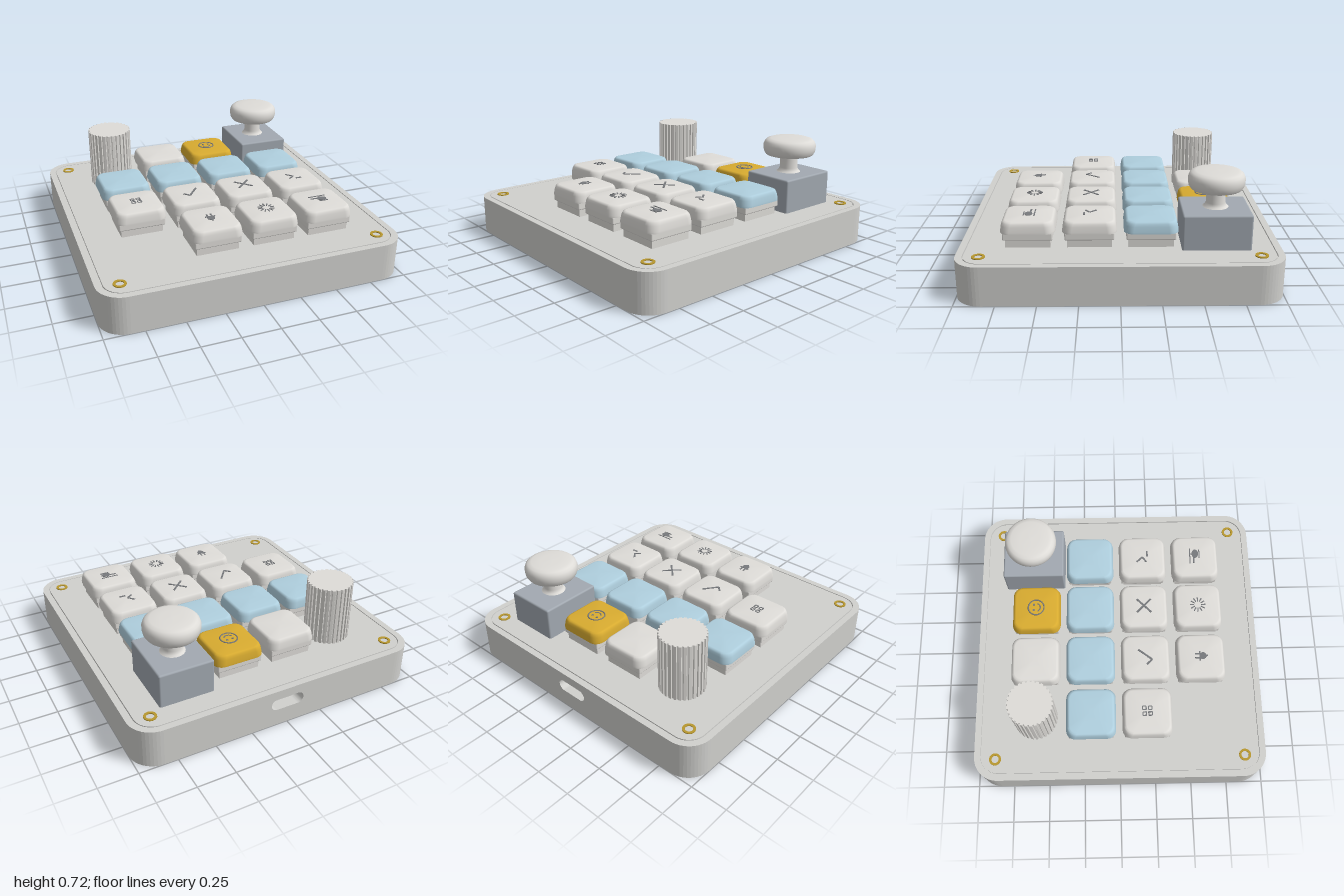
import * as THREE from 'three';
import { RoundedBoxGeometry } from 'three/addons/geometries/RoundedBoxGeometry.js';

const mat = (name, color) => Object.assign(new THREE.MeshStandardMaterial({ color }), { name });
const M = {
  casing: mat('case grey', 0xd0d0cd),
  key: mat('key light grey', 0xdedcd8),
  blue: mat('key blue', 0xafcfde),
  yellow: mat('key yellow', 0xd9ac30),
  box: mat('joystick blue grey', 0xa2a9b1),
  brass: mat('brass', 0xb8972f),
  icon: mat('icon dark grey', 0x77797c),
};
const DECK = 0.255;
const GRID = [-0.577, -0.194, 0.189, 0.572];

function add(parent, name, geometry, material, x = 0, y = 0, z = 0) {
  const mesh = new THREE.Mesh(geometry, material);
  mesh.name = name;
  mesh.position.set(x, y, z);
  parent.add(mesh);
  return mesh;
}

// Points of a rounded square, counter-clockwise in x, y
function roundedSquare(h, r, n = 8) {
  const pts = [];
  for (let c = 0; c < 4; c++) {
    const cx = (c === 0 || c === 3 ? 1 : -1) * (h - r), cy = (c < 2 ? 1 : -1) * (h - r);
    for (let i = 0; i <= n; i++) {
      const a = (c + i / n) * Math.PI / 2;
      pts.push(new THREE.Vector2(cx + r * Math.cos(a), cy + r * Math.sin(a)));
    }
  }
  return pts;
}

// Extrudes a plan outline upwards
function slab(points, height, hole) {
  const shape = new THREE.Shape(points);
  if (hole) shape.holes.push(new THREE.Path(hole));
  return new THREE.ExtrudeGeometry(shape, { depth: height, bevelEnabled: false, curveSegments: 24 }).rotateX(-Math.PI / 2);
}

const circle = (r, n = 24) => Array.from({ length: n }, (_, i) =>
  new THREE.Vector2(r * Math.cos(i / n * 2 * Math.PI), r * Math.sin(i / n * 2 * Math.PI)));

// Keycap from stacked rounded squares: [half width, corner radius, height]
function keycapGeometry() {
  const rows = [[0.15, 0.05, 0], [0.17, 0.06, 0], [0.17, 0.06, 0], [0.17, 0.06, 0.012], [0.165, 0.06, 0.045],
    [0.16, 0.06, 0.062], [0.153, 0.057, 0.071], [0.142, 0.05, 0.075], [0.07, 0.02, 0.08]];
  const pos = [], idx = [];
  rows.forEach(([h, r, y]) => roundedSquare(h, r, 6).forEach(p => pos.push(p.x, y, -p.y)));
  const n = 28, last = (rows.length - 1) * n, top = rows.length * n;
  pos.push(0, 0.082, 0, 0, 0, 0);
  for (let i = 0; i < n; i++) {
    const j = (i + 1) % n;
    for (let k = 0; k < rows.length - 1; k++) {
      if (k === 1) continue; // sharp lower edge
      const a = k * n;
      idx.push(a + i, a + j, a + n + j, a + i, a + n + j, a + n + i);
    }
    idx.push(last + i, last + j, top, j, i, top + 1);
  }
  const g = new THREE.BufferGeometry();
  g.setAttribute('position', new THREE.Float32BufferAttribute(pos, 3));
  g.setIndex(idx);
  g.computeVertexNormals();
  return g;
}

// Icon strokes: a polyline of thin bars, and a flat arc
function line(g, pts, w = 0.01) {
  for (let i = 0; i + 3 < pts.length; i += 2) {
    const [x1, z1, x2, z2] = pts.slice(i, i + 4);
    const bar = add(g, 'iconStroke', new THREE.BoxGeometry(Math.hypot(x2 - x1, z2 - z1), 0.008, w), M.icon,
      (x1 + x2) / 2, 0, (z1 + z2) / 2);
    bar.rotation.y = -Math.atan2(z2 - z1, x2 - x1);
  }
}
function arc(g, r, start, length, x = 0, z = 0) {
  const geo = new THREE.TorusGeometry(r, 0.005, 6, 32, length).rotateZ(start).rotateX(-Math.PI / 2);
  add(g, 'iconArc', geo, M.icon, x, 0, z);
}
const dot = (g, r, x, z) => add(g, 'iconDot', new THREE.CylinderGeometry(r, r, 0.008, 16), M.icon, x, 0, z);

const icons = {
  smile(g) {
    arc(g, 0.056, 0, Math.PI * 2);
    arc(g, 0.03, Math.PI * 1.1, Math.PI * 0.8);
    for (const s of [-1, 1]) dot(g, 0.008, s * 0.02, -0.016);
  },
  squares(g) {
    for (const x of [-0.02, 0.02]) for (const z of [-0.02, 0.02]) {
      const a = 0.012;
      line(g, [x - a, z - a, x + a, z - a, x + a, z + a, x - a, z + a, x - a, z - a], 0.007);
    }
  },
  check(g) { line(g, [-0.055, 0.008, -0.02, 0.045, 0.052, -0.05], 0.013); },
  cross(g) {
    line(g, [-0.05, -0.05, 0.05, 0.05], 0.013);
    line(g, [-0.05, 0.05, 0.05, -0.05], 0.013);
  },
  prompt(g) {
    line(g, [-0.04, -0.042, -0.002, 0, -0.04, 0.028], 0.012);
    line(g, [0.002, 0.035, 0.045, 0.035], 0.012);
  },
  plug(g) {
    for (const s of [-1, 1]) line(g, [s * 0.014, -0.04, s * 0.014, -0.005]);
    line(g, [-0.034, -0.006, 0.034, -0.006]);
    dot(g, 0.025, 0, 0.014);
    line(g, [0, 0.03, 0, 0.048]);
  },
  burst(g) {
    for (let i = 0; i < 12; i++) {
      const c = Math.cos(i * Math.PI / 6), s = Math.sin(i * Math.PI / 6);
      line(g, [c * 0.025, s * 0.025, c * 0.055, s * 0.055], 0.008);
    }
  },
  helicopter(g) {
    line(g, [-0.06, -0.036, 0.06, -0.036], 0.007);
    line(g, [0.015, -0.036, 0.015, -0.01], 0.007);
    line(g, [-0.055, -0.01, 0.01, -0.006]);
    dot(g, 0.024, 0.018, 0.002).scale.x = 1.4;
    line(g, [-0.015, 0.032, 0.05, 0.032], 0.007);
  },
};

export function createModel() {
  const model = new THREE.Group();
  model.name = 'macroPad';

  // Case: tray with a notch at the back, filled by a wall with the port opening
  const body = roundedSquare(1, 0.165, 12);
  const notch = [[0.2, 1], [0.2, 0.92], [-0.2, 0.92], [-0.2, 1]].map(p => new THREE.Vector2(...p));
  const outline = [...body.slice(0, 13), ...notch, ...body.slice(13)];
  const gap = roundedSquare(0.957, 0.125, 12);
  add(model, 'caseTray', slab(outline, 0.24), M.casing);
  add(model, 'caseRim', slab(body, DECK - 0.24, gap), M.casing, 0, 0.24);
  add(model, 'topPlate', slab(roundedSquare(0.951, 0.119, 12), DECK - 0.24), M.casing, 0, 0.24);
  const wall = new THREE.Shape([[-0.2, 0], [0.2, 0], [0.2, 0.24], [-0.2, 0.24]].map(p => new THREE.Vector2(...p)));
  const port = new THREE.Path();
  port.absarc(0.075, 0.155, 0.04, -Math.PI / 2, Math.PI / 2);
  port.absarc(-0.075, 0.155, 0.04, Math.PI / 2, Math.PI * 1.5);
  port.closePath();
  wall.holes.push(port);
  add(model, 'portWall', new THREE.ExtrudeGeometry(wall, { depth: 0.08, bevelEnabled: false }), M.casing, 0, 0, -1);

  // Threaded inserts in the corners
  const insert = slab(circle(0.041), 0.008, circle(0.025));
  for (const x of [-0.855, 0.855]) for (const z of [-0.855, 0.855]) add(model, 'cornerInsert', insert, M.brass, x, DECK - 0.002, z);

  // Keys: switch housing, cap and icon
  const cap = keycapGeometry();
  const lower = new THREE.BoxGeometry(0.28, 0.055, 0.28);
  const flange = new RoundedBoxGeometry(0.31, 0.05, 0.31, 2, 0.008);
  const layout = [
    [null, ['key'], ['yellow', 'smile'], null],
    [['blue'], ['blue'], ['blue'], ['blue']],
    [['key', 'squares'], ['key', 'check'], ['key', 'cross'], ['key', 'prompt']],
    [null, ['key', 'plug'], ['key', 'burst'], ['key', 'helicopter']],
  ];
  layout.forEach((row, r) => row.forEach((entry, c) => {
    if (!entry) return;
    const key = new THREE.Group();
    key.name = 'key';
    key.position.set(GRID[c], DECK, GRID[r]);
    add(key, 'switchBase', lower, M.key, 0, 0.0275);
    add(key, 'switchFlange', flange, M.key, 0, 0.075);
    add(key, 'keycap', cap, M[entry[0]], 0, 0.096);
    if (entry[1]) {
      const icon = new THREE.Group();
      icon.name = 'icon';
      icon.position.y = 0.176;
      icons[entry[1]](icon);
      key.add(icon);
    }
    model.add(key);
  }));

  // Fluted knob
  const flutes = [];
  for (let i = 0; i < 30; i++) {
    [[0.1, 0.152], [0.6, 0.152], [0.7, 0.143], [1, 0.143]].forEach(([f, r]) => {
      const a = (i + f) / 30 * Math.PI * 2;
      flutes.push(new THREE.Vector2(r * Math.cos(a), r * Math.sin(a)));
    });
  }
  add(model, 'knob', slab(flutes, 0.405), M.key, -0.57, DECK, -0.58);

  // Joystick: housing, stem and mushroom cap
  add(model, 'joystickHousing', new RoundedBoxGeometry(0.363, 0.24, 0.43, 2, 0.012), M.box, 0.592, 0.361, -0.596);
  const lathe = pts => new THREE.LatheGeometry(pts.map(p => new THREE.Vector2(...p)), 40);
  add(model, 'joystickStem', lathe([[0.085, 0.478], [0.07, 0.49], [0.06, 0.51], [0.06, 0.61]]), M.key, 0.59, 0, -0.6);
  add(model, 'joystickCapUnderside', lathe([[0, 0.603], [0.16, 0.603]]), M.key, 0.59, 0, -0.6);
  add(model, 'joystickCap', lathe([[0.16, 0.603], [0.172, 0.62], [0.178, 0.645], [0.178, 0.67], [0.17, 0.692],
    [0.155, 0.706], [0.13, 0.714], [0.07, 0.717], [0, 0.718]]), M.key, 0.59, 0, -0.6);
  return model;
}
